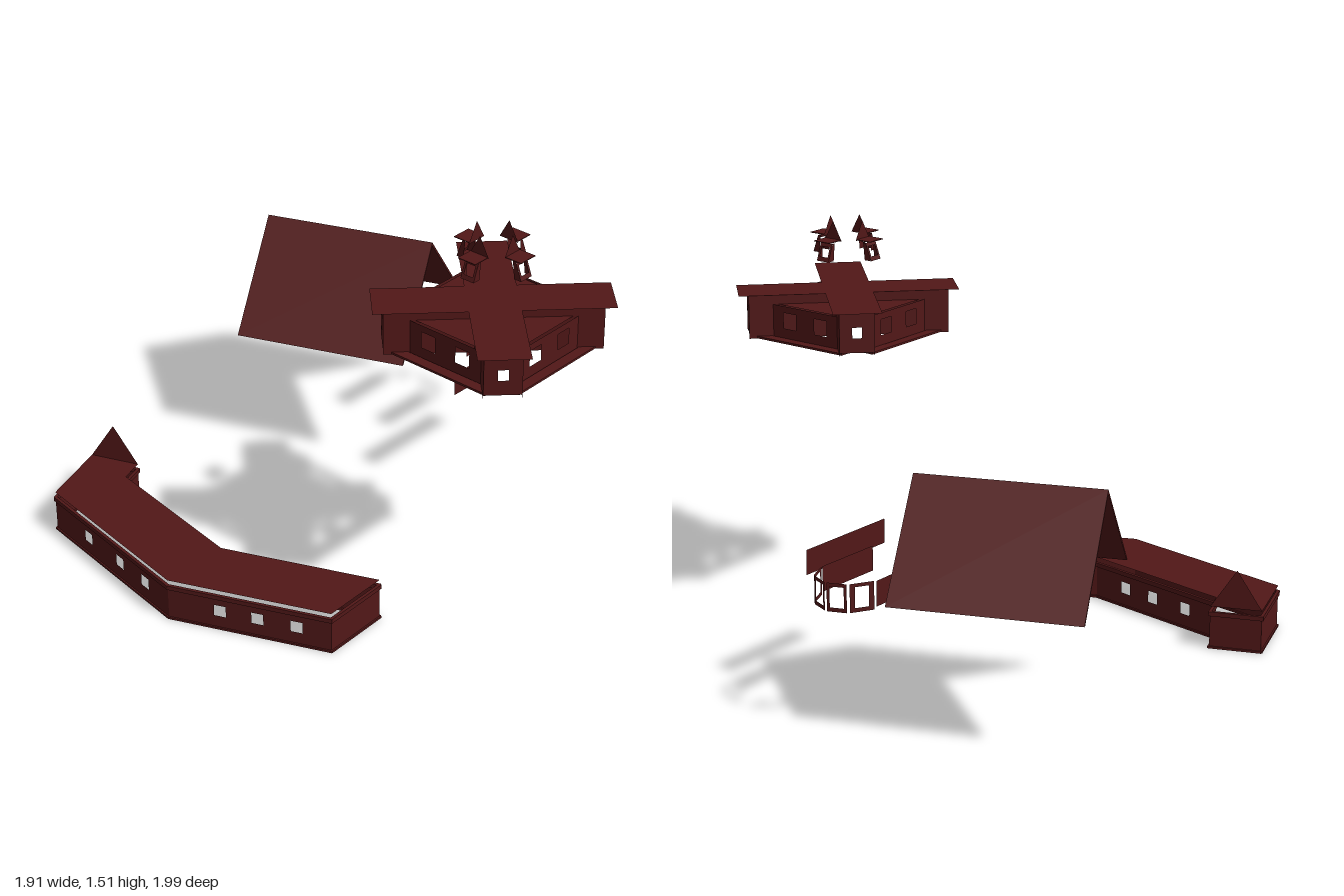
import * as THREE from 'three';

const red = new THREE.MeshStandardMaterial({ color: 0x521818, side: THREE.DoubleSide, flatShading: true });

function add(parent, name, geo, x = 0, y = 0, z = 0, ry = 0) {
  const m = new THREE.Mesh(geo, red);
  m.name = name;
  m.position.set(x, y, z);
  m.rotation.y = ry;
  parent.add(m);
  return m;
}

// Closed outline of [x, y] points as a shape or hole
const outline = (pts, Type = THREE.Shape) => new Type(pts.map(([x, y]) => new THREE.Vector2(x, y)));
const rect = (x0, x1, y0, y1) => [[x0, y0], [x1, y0], [x1, y1], [x0, y1]];

// Thin upright panel from p to q ([x, z]); windows are [centre, width, y0, y1]
function wall(parent, name, p, q, y0, y1, windows = []) {
  const dx = q[0] - p[0], dz = q[1] - p[1], len = Math.hypot(dx, dz);
  const s = outline(rect(0, len, y0, y1));
  for (const [c, w, a, b] of windows) s.holes.push(outline(rect(c * len - w / 2, c * len + w / 2, a, b), THREE.Path));
  return add(parent, name, new THREE.ShapeGeometry(s), p[0], 0, p[1], Math.atan2(-dz, dx));
}

// Bar lying along the line from p to q
function bar(parent, name, p, q, y0, y1, t) {
  const dx = q[0] - p[0], dz = q[1] - p[1];
  add(parent, name, new THREE.BoxGeometry(Math.hypot(dx, dz) + t / 2, y1 - y0, t),
    (p[0] + q[0]) / 2, (y0 + y1) / 2, (p[1] + q[1]) / 2, Math.atan2(-dz, dx));
}

// Flat quad through four 3D corners
function quad(parent, name, a, b, c, d) {
  const g = new THREE.BufferGeometry();
  g.setAttribute('position', new THREE.Float32BufferAttribute([a, b, c, a, c, d].flat(), 3));
  g.computeVertexNormals();
  return add(parent, name, g);
}

function corridor() {
  const g = new THREE.Group();
  g.name = 'bentCorridor';
  const plan = [[-0.57, -0.94], [-0.84, -0.85], [-0.955, -0.13], [-0.715, 0.44],
    [-0.45, 0.43], [-0.685, -0.13], [-0.59, -0.73], [-0.5, -0.76]];
  const windowsAt = { 1: [0.3, 0.58, 0.8], 2: [0.32, 0.55, 0.79], 4: [0.24, 0.47, 0.73], 5: [0.25, 0.48, 0.75] };
  plan.forEach((p, i) => {
    const q = plan[(i + 1) % plan.length];
    wall(g, 'corridorWall', p, q, 0, 0.145, (windowsAt[i] || []).map(t => [t, 0.045, 0.055, 0.1]));
    bar(g, 'baseTrim', p, q, 0, 0.008, 0.012);
    bar(g, 'topTrim', p, q, 0.128, 0.145, 0.012);
  });
  // Flat roof held just clear of the walls
  const roof = new THREE.ShapeGeometry(outline(plan.map(([x, z]) => [x, -z])));
  add(g, 'corridorRoof', roof.rotateX(-Math.PI / 2), 0, 0.165, 0);
  // Gable over the short end
  const [p, q] = [plan[7], plan[0]];
  const len = Math.hypot(q[0] - p[0], q[1] - p[1]);
  add(g, 'endGable', new THREE.ShapeGeometry(outline([[0, 0.165], [len, 0.165], [len / 2, 0.315]])),
    p[0], 0, p[1], Math.atan2(p[1] - q[1], q[0] - p[0]));
  return g;
}

// Small slanted window with gable, facing +z
function dormer() {
  const g = new THREE.Group();
  g.name = 'dormer';
  const frame = outline(rect(-0.028, 0.028, 0, 0.07));
  frame.holes.push(outline(rect(-0.019, 0.019, 0.017, 0.056), THREE.Path));
  add(g, 'dormerFrame', new THREE.ShapeGeometry(frame), 0, 1.37, 0.14).rotation.x = -0.36;
  for (const s of [-1, 1]) {
    const cheek = outline([[0.14, 1.37], [0.115, 1.436], [0.103, 1.436], [0.11, 1.37]].map(([z, y]) => [-z, y]));
    add(g, 'dormerCheek', new THREE.ShapeGeometry(cheek).rotateY(Math.PI / 2), s * 0.028);
  }
  add(g, 'dormerRoof', new THREE.BoxGeometry(0.075, 0.003, 0.065), 0, 1.444, 0.112);
  add(g, 'dormerGable', new THREE.ShapeGeometry(outline([[-0.04, 1.44], [0.04, 1.44], [0, 1.512]])), 0, 0, 0.077);
  return g;
}

function crossTower() {
  const g = new THREE.Group();
  g.name = 'crossTower';
  g.position.set(-0.11, 0, 0.637);
  for (let k = 0; k < 4; k++) {
    const side = new THREE.Group();
    side.name = 'towerSide';
    side.rotation.y = k * Math.PI / 2;
    // Recessed wall, ledge and lower roof between two arms
    wall(side, 'linkWall', [-0.155, 0.247], [0.155, 0.247], 1.075, 1.205,
      [[0.26, 0.06, 1.12, 1.18], [0.74, 0.06, 1.12, 1.18]]);
    add(side, 'ledge', new THREE.BoxGeometry(0.42, 0.008, 0.04), 0, 1.08, 0.271);
    quad(side, 'lowRoof', [0, 1.205, 0], [-0.235, 1.205, 0.235], [0.235, 1.205, 0.235], [0, 1.205, 0]);
    side.add(dormer());
    // Diagonal arm
    const arm = new THREE.Group();
    arm.name = 'arm';
    arm.rotation.y = Math.PI / 4;
    wall(arm, 'armEnd', [0.375, 0.065], [0.375, -0.065], 1.09, 1.243, [[0.5, 0.036, 1.145, 1.185]]);
    for (const s of [-1, 1]) wall(arm, 'armSide', [0.065, s * 0.065], [0.375, s * 0.065], 1.075, 1.243);
    side.add(arm);
    g.add(side);
  }
  // Flat crossed roof
  const a = 0.09, r = 0.413;
  const cross = outline([[a, a], [a, r], [-a, r], [-a, a], [-r, a], [-r, -a],
    [-a, -a], [-a, -r], [a, -r], [a, -a], [r, -a], [r, a]]);
  add(g, 'crossRoof', new THREE.ShapeGeometry(cross).rotateX(-Math.PI / 2), 0, 1.245, 0, Math.PI / 4);
  return g;
}

function hall() {
  const g = new THREE.Group();
  g.name = 'hall';
  // Steep open-ended roof: thin inverted V swept along the ridge
  const w = 0.336, y0 = 0.505, y1 = 0.868, t = 0.012;
  const vee = outline([[-w, y0], [0, y1], [w, y0], [w - t, y0], [0, y1 - t * 1.2], [-w + t, y0]]);
  const depth = 0.678;
  const geo = new THREE.ExtrudeGeometry(vee, { depth, bevelEnabled: false }).translate(0, 0, -depth / 2);
  add(g, 'hallRoof', geo, 0.48, 0, -0.555, Math.atan2(0.25, 0.63));
  // Straight walls
  const walls = [[[0.32, 0.12], [0.745, 0.125]], [[0.57, -0.03], [0.835, -0.025]], [[0.58, -0.26], [0.835, -0.262]]];
  for (const [p, q] of walls) wall(g, 'hallWall', p, q, 0.458, 0.55);
  // Faceted bay of open window frames
  const bay = [[0.84, -0.027], [0.925, -0.062], [0.955, -0.138], [0.926, -0.213], [0.84, -0.263]];
  for (let i = 0; i < 4; i++) {
    const p = bay[i], q = bay[i + 1], mix = t => [p[0] + (q[0] - p[0]) * t, p[1] + (q[1] - p[1]) * t];
    wall(g, 'bayFrame', mix(0.06), mix(0.94), 0.45, 0.553, [[0.5, 0.05, 0.465, 0.54]]);
  }
  return g;
}

export function createModel() {
  const model = new THREE.Group();
  model.name = 'buildingParts';
  model.add(corridor(), crossTower(), hall());
  return model;
}
